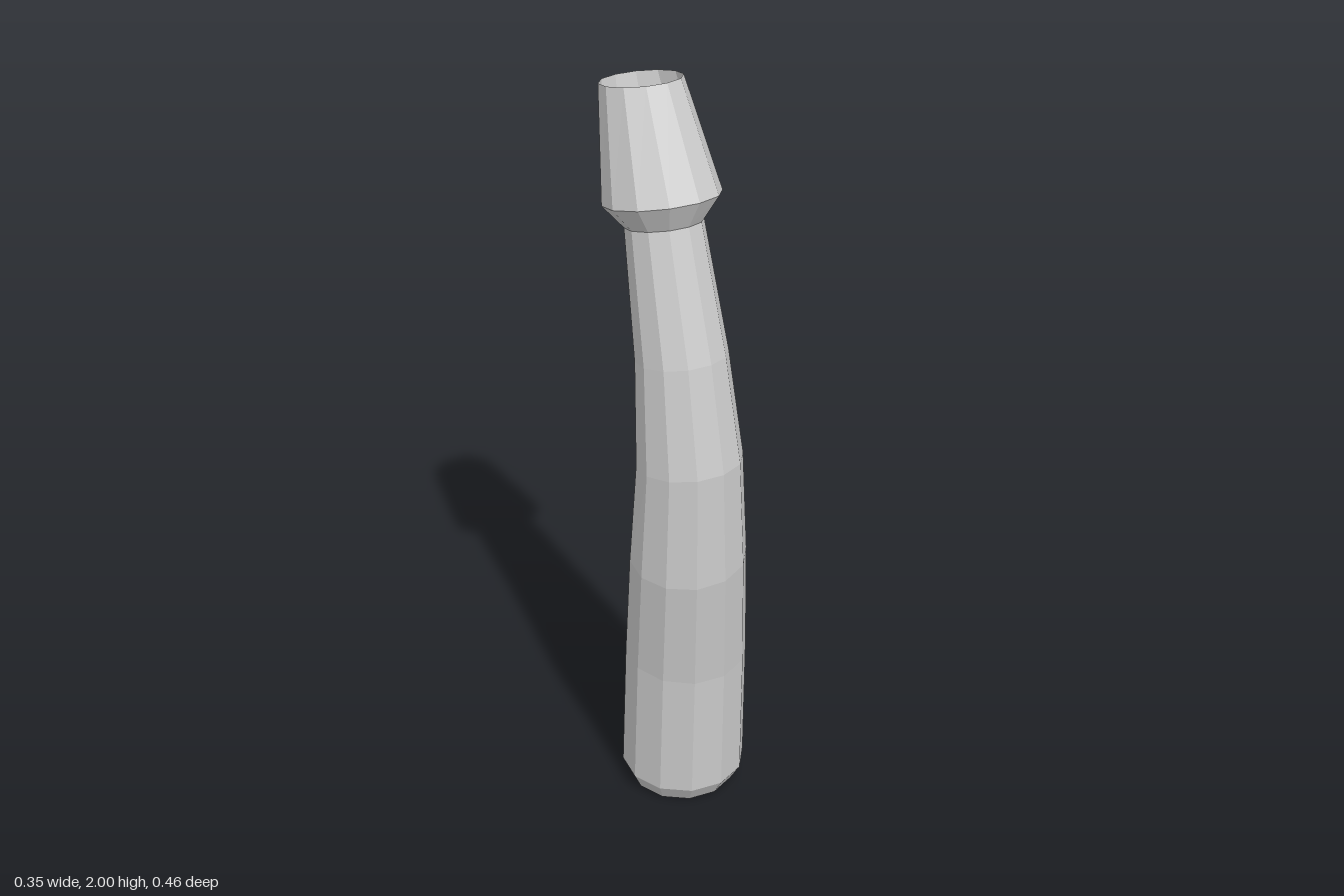
import * as THREE from 'three';

const SIDES = 12;
const PHASE = THREE.MathUtils.degToRad(20);

// Each ring: centre x, y, z, radius, forward tilt (front edge rises), side tilt (+x edge rises)
const BASE = [0.008, 0, -0.01, 0.144, 0, 0];
const NECK = [-0.035, 1.66, -0.022, 0.097, 0.22, 0];
const BODY = [
  [0.006, 0.055, 0, 0.168, 0, 0],
  [0, 0.445, 0.027, 0.162, -0.08, 0.02],
  [-0.02, 0.77, 0.075, 0.152, -0.06, 0.08],
  [-0.025, 1.061, 0.091, 0.135, 0.12, 0.03],
  [-0.029, 1.338, 0.056, 0.116, 0.17, 0.02],
  NECK,
];
const CAP = [
  NECK,
  [-0.033, 1.718, -0.035, 0.146, 0.24, 0],
  [-0.036, 1.983, -0.134, 0.102, 0.18, 0],
];

// Joins tilted rings into an open faceted tube
function loft(name, rings) {
  const positions = [];
  const index = [];
  for (const [x, y, z, r, tilt, lean] of rings) {
    for (let i = 0; i < SIDES; i++) {
      const a = PHASE + (i / SIDES) * Math.PI * 2;
      const dx = r * Math.cos(a);
      const dz = r * Math.sin(a);
      positions.push(
        x + dx * Math.cos(lean),
        y + dz * Math.sin(tilt) + dx * Math.sin(lean),
        z + dz * Math.cos(tilt),
      );
    }
  }
  for (let k = 0; k < rings.length - 1; k++) {
    for (let i = 0; i < SIDES; i++) {
      const a = k * SIDES + i;
      const b = k * SIDES + ((i + 1) % SIDES);
      index.push(a, a + SIDES, b, b, a + SIDES, b + SIDES);
    }
  }
  const geometry = new THREE.BufferGeometry();
  geometry.setAttribute('position', new THREE.Float32BufferAttribute(positions, 3));
  geometry.setIndex(index);
  geometry.computeVertexNormals();
  const mesh = new THREE.Mesh(geometry, new THREE.MeshStandardMaterial({
    color: 0xcccccc, flatShading: true, side: THREE.DoubleSide,
  }));
  mesh.name = name;
  return mesh;
}

export function createModel() {
  const group = new THREE.Group();
  group.name = 'bentTube';
  // Chamfered open foot, curved tapering stem and flared open tip
  group.add(loft('foot', [BASE, BODY[0]]));
  group.add(loft('stem', BODY));
  group.add(loft('tip', CAP));
  return group;
}
